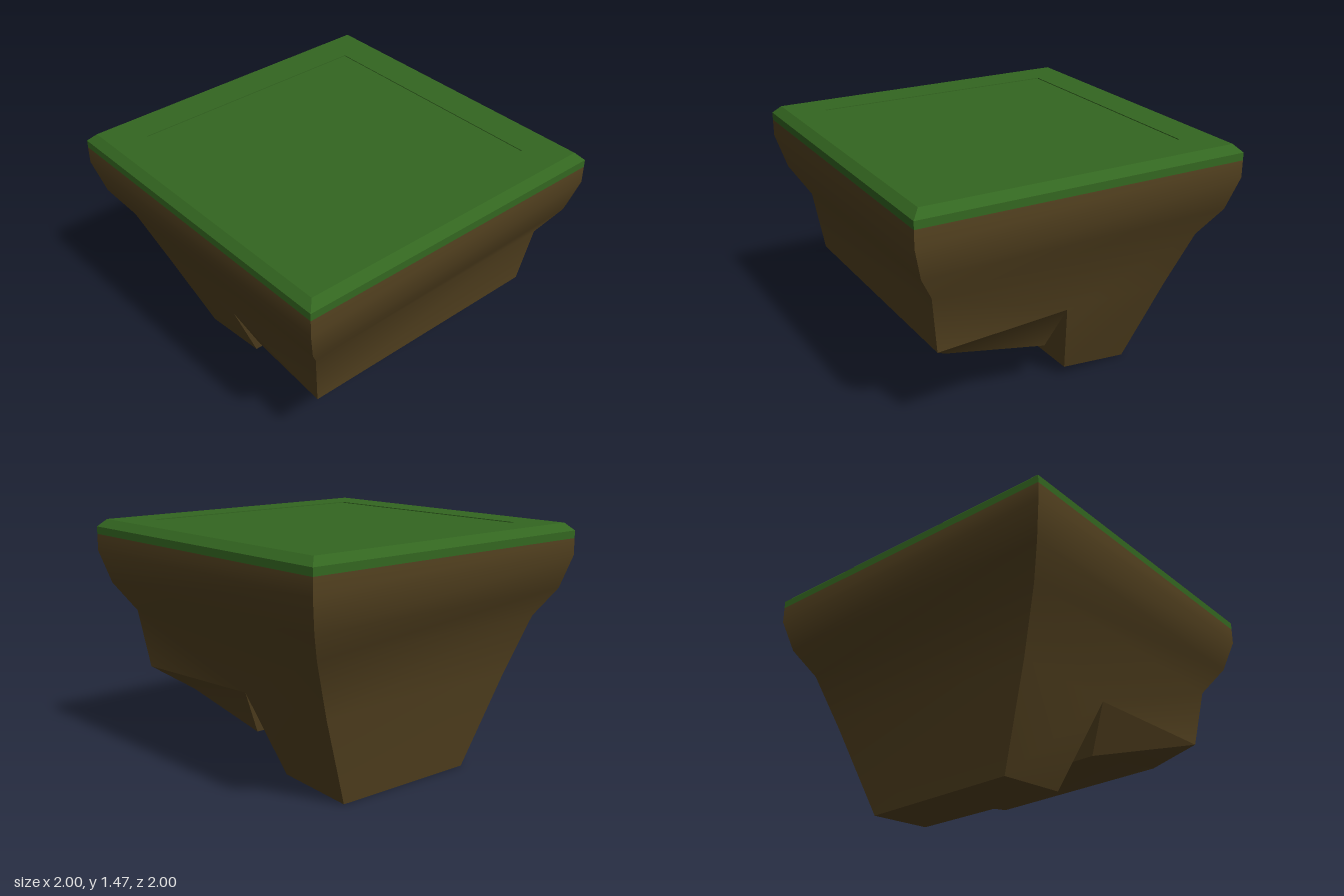
import * as THREE from 'three';
import { toCreasedNormals } from 'three/addons/utils/BufferGeometryUtils.js';

// Square ring at height y: front-left, back-left, back-right, front-right (model's left is +x)
const ring = (h, y) => [[h, y, h], [h, y, -h], [-h, y, -h], [-h, y, h]];

// Four quads joining each ring to the next one below it
function bands(rings) {
  const polys = [];
  for (let r = 0; r + 1 < rings.length; r++) {
    const up = rings[r], low = rings[r + 1];
    for (let i = 0; i < 4; i++) {
      const j = (i + 1) % 4;
      polys.push([low[i], low[j], up[j], up[i]]);
    }
  }
  return polys;
}

// Fan-triangulates polygons and keeps edges over about 34 degrees sharp
function polyMesh(name, polys, material) {
  const pos = [];
  for (const p of polys)
    for (let i = 1; i + 1 < p.length; i++) pos.push(...p[0], ...p[i], ...p[i + 1]);
  const geo = new THREE.BufferGeometry();
  geo.setAttribute('position', new THREE.Float32BufferAttribute(pos, 3));
  const mesh = new THREE.Mesh(toCreasedNormals(geo, 0.6), material);
  mesh.name = name;
  return mesh;
}

export function createModel() {
  const grass = new THREE.MeshStandardMaterial({ color: 0x336620 });
  grass.name = 'grass green';
  const earth = new THREE.MeshStandardMaterial({ color: 0x544220 });
  earth.name = 'earth brown';

  const group = new THREE.Group();
  group.name = 'floatingGroundBlock';

  // Grass slab: bevelled rim with a very shallow inset square
  const slab = [ring(0.75, 1.46), ring(0.75, 1.465), ring(0.955, 1.465), ring(1, 1.42), ring(1, 1.375)];
  group.add(polyMesh('grassTop', [slab[0], ...bands(slab)], grass));

  // Earth: stepped upper body
  const upper = [ring(1, 1.375), ring(1, 1.275), ring(0.945, 1.08), ring(0.84, 0.91)];
  const [uFL, uBL, uBR, uFR] = upper[3];

  // Lower outline of the body, with the notch points halfway along the sides
  const mirror = ([x, y, z]) => [-x, y, z];
  const fL = [0.79, 0.56, 0.79], mL = [0.71, 0.56, -0.065], bL = [0.7, 0.56, -0.75];
  const [fR, mR, bR] = [fL, mL, bL].map(mirror);
  // Front lump
  const lumpFL = [0.58, 0.41, 0.635], lumpBL = [0.58, 0.287, 0];
  const [lumpFR, lumpBR] = [lumpFL, lumpBL].map(mirror);
  // Rear spur, slightly uneven at its front edge
  const spurFL = [0.515, 0.06, -0.185], spurFR = [-0.475, 0.047, -0.185];
  const spurBL = [0.475, 0, -0.635], spurBR = mirror(spurBL);

  const body = [
    [mL, uBL, uFL, fL], [mL, bL, uBL],
    [mR, fR, uFR, uBR], [bR, mR, uBR],
    [fR, fL, uFL, uFR], [bL, bR, uBR, uBL],
  ];
  const spur = [
    [spurFR, spurFL, mL, mR], [spurFL, spurBL, bL, mL], [spurBR, spurFR, mR, bR],
    [spurBL, spurBR, bR, bL], [spurFL, spurFR, spurBR, spurBL],
  ];
  const lump = [
    [lumpFR, lumpFL, fL, fR], [lumpFL, lumpFR, lumpBR, lumpBL], [lumpBL, lumpBR, mR, mL],
    [lumpFL, mL, fL], [lumpFL, lumpBL, mL],
    [fR, lumpBR, lumpFR], [fR, mR, lumpBR],
  ];
  // The spur runs smoothly on from the body; the lump meets it at a hard edge
  group.add(polyMesh('earthBodyAndSpur', [...bands(upper), ...body, ...spur], earth));
  group.add(polyMesh('earthFrontLump', lump, earth));

  return group;
}
